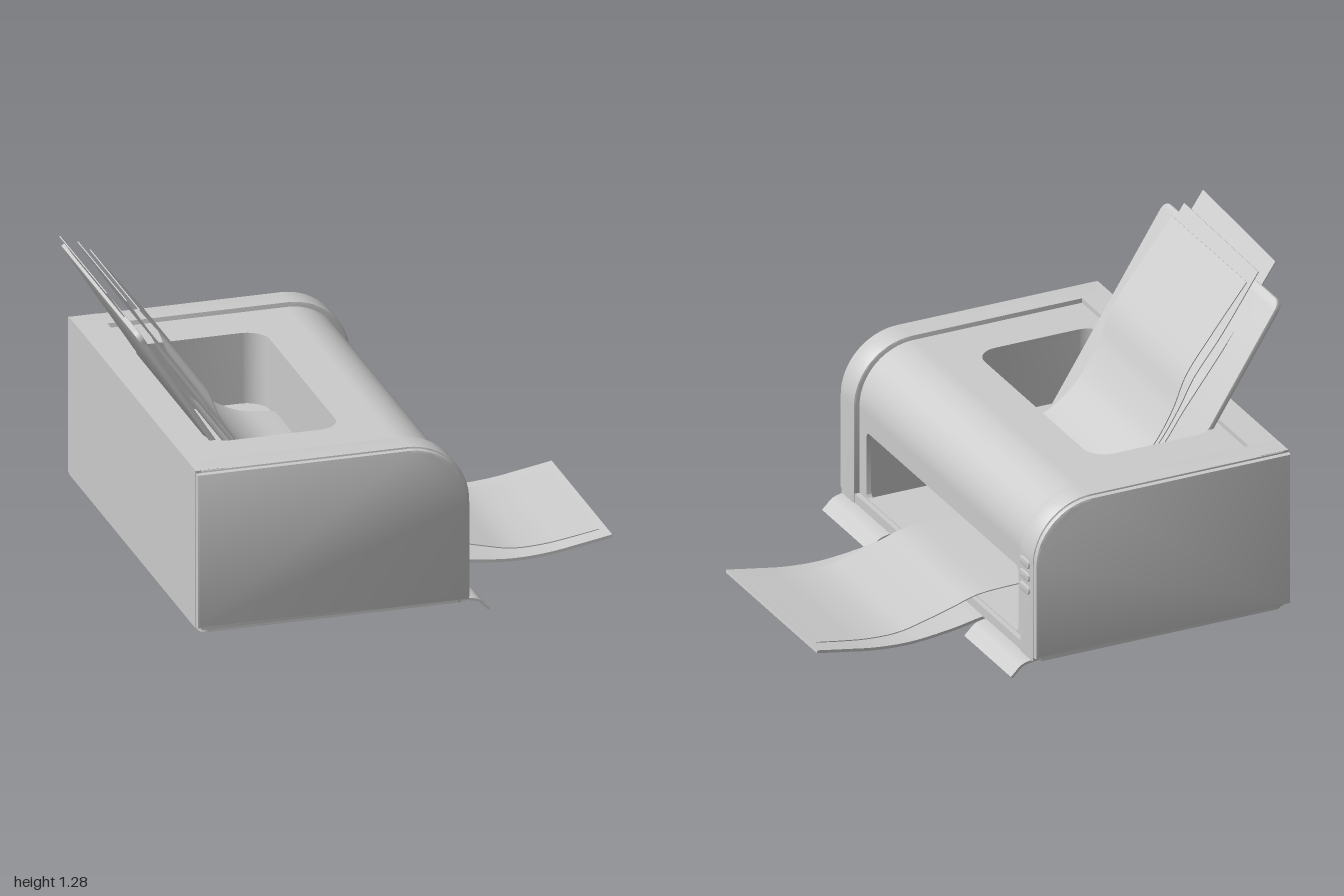
import * as THREE from 'three';
import { toCreasedNormals } from 'three/addons/utils/BufferGeometryUtils.js';

const grey = new THREE.MeshStandardMaterial({ color: 0xcccccc, side: THREE.DoubleSide });

export function createModel() {
  const model = new THREE.Group();

  const add = (name, geometry) => {
    const mesh = new THREE.Mesh(geometry, grey);
    mesh.name = name;
    model.add(mesh);
    return mesh;
  };

  // Box given by its limits on each axis
  const box = (name, x0, x1, y0, y1, z0, z1) => {
    const g = new THREE.BoxGeometry(x1 - x0, y1 - y0, z1 - z0);
    g.translate((x0 + x1) / 2, (y0 + y1) / 2, (z0 + z1) / 2);
    return add(name, g);
  };

  // Rounded rectangle as a Shape or a Path
  const roundRect = (p, x0, x1, y0, y1, r) => {
    p.moveTo(x0 + r, y0);
    p.lineTo(x1 - r, y0);
    p.absarc(x1 - r, y0 + r, r, -Math.PI / 2, 0);
    p.absarc(x1 - r, y1 - r, r, 0, Math.PI / 2);
    p.absarc(x0 + r, y1 - r, r, Math.PI / 2, Math.PI);
    p.absarc(x0 + r, y0 + r, r, Math.PI, Math.PI * 1.5);
    return p;
  };

  const extrude = (shape, depth, bevel = 0, segments = 8) => toCreasedNormals(
    new THREE.ExtrudeGeometry(shape, {
      depth: depth - 2 * bevel, curveSegments: segments, bevelEnabled: bevel > 0,
      bevelSize: bevel, bevelThickness: bevel, bevelOffset: -bevel, bevelSegments: 2,
    }).translate(0, 0, bevel), 0.6);

  // Side outline with the big rounded front top edge
  const sideOutline = (x0, x1, y0, y1, r) => {
    const s = new THREE.Shape();
    s.moveTo(x0, y0);
    s.lineTo(x1, y0);
    s.lineTo(x1, y1 - r);
    s.absarc(x1 - r, y1 - r, r, 0, Math.PI / 2);
    s.lineTo(x0, y1);
    return s;
  };

  // Thin slab of given thickness and width that follows a curve in the xy plane
  const sheet = (name, points, width, thickness, z = 0, skew = 0) => {
    const curve = new THREE.CatmullRomCurve3(points.map(([x, y]) => new THREE.Vector3(x, y, 0)));
    const g = new THREE.BoxGeometry(1, thickness, width, 32, 1, 1);
    const pos = g.attributes.position;
    for (let i = 0; i < pos.count; i++) {
      const u = pos.getX(i) + 0.5, h = pos.getY(i), w = pos.getZ(i);
      const p = curve.getPointAt(u), t = curve.getTangentAt(u);
      const slide = skew * w * (1 - u);
      pos.setXYZ(i, p.x - t.y * h + t.x * slide, p.y + t.x * h + t.y * slide, w + z + skew * (0.5 - u) * 0.4);
    }
    g.computeVertexNormals();
    return add(name, g);
  };

  // Side frames and the slightly raised outer panels
  for (const s of [1, -1]) {
    const side = s > 0 ? 'left' : 'right';
    const frame = extrude(sideOutline(-0.78, 0.295, 0.06, 0.72, 0.25), 0.11, 0.008);
    add(side + 'SideFrame', frame.translate(0, 0, s > 0 ? 0.71 : -0.82));
    const panel = extrude(sideOutline(-0.8, 0.29, 0.075, 0.712, 0.245), 0.03, 0.01);
    add(side + 'SidePanel', panel.translate(0, 0, s > 0 ? 0.81 : -0.84));
  }

  // Rear block, base and sill joining the two sides
  box('rearWall', -0.8, -0.68, 0.07, 0.72, -0.815, 0.815);
  add('basePlate', extrude(roundRect(new THREE.Shape(), -0.78, 0.28, -0.81, 0.81, 0.03), 0.025)
    .rotateX(-Math.PI / 2).translate(0, 0.048, 0));
  box('frontSill', 0.2, 0.29, 0.06, 0.1, -0.712, 0.712);

  // Top cover with the feeder opening
  const top = new THREE.Shape();
  top.moveTo(-0.69, -0.71);
  top.lineTo(0.04, -0.71);
  top.lineTo(0.04, 0.71);
  top.lineTo(-0.69, 0.71);
  top.holes.push(roundRect(new THREE.Path(), -0.65, -0.12, -0.51, 0.51, 0.09));
  add('topCover', extrude(top, 0.02).rotateX(-Math.PI / 2).translate(0, 0.68, 0));

  // Curved cover between top and front
  const band = new THREE.Shape();
  band.absarc(0.04, 0.47, 0.23, 0, Math.PI / 2, false);
  band.absarc(0.04, 0.47, 0.21, Math.PI / 2, 0, true);
  add('curvedCover', extrude(band, 1.42, 0, 14).translate(0, 0, -0.71));

  // Front cover with the paper exit
  const front = new THREE.Shape();
  front.moveTo(-0.71, 0.095);
  front.lineTo(0.71, 0.095);
  front.lineTo(0.71, 0.47);
  front.lineTo(-0.71, 0.47);
  front.holes.push(roundRect(new THREE.Path(), -0.65, 0.65, 0.105, 0.385, 0.025));
  add('frontCover', extrude(front, 0.02).rotateY(Math.PI / 2).translate(0.25, 0, 0));

  // Inside of the paper exit
  box('exitFloor', -0.45, 0.26, 0.07, 0.1, -0.66, 0.66);
  box('exitBack', -0.47, -0.45, 0.07, 0.4, -0.66, 0.66);
  box('exitCeiling', -0.45, 0.255, 0.388, 0.398, -0.66, 0.66);
  for (const s of [-1, 1]) box('exitSide', -0.45, 0.255, 0.1, 0.39, s * 0.655 - 0.005, s * 0.655 + 0.005);

  // Feeder well: rounded wall and floor
  const wall = roundRect(new THREE.Shape(), -0.66, -0.11, -0.52, 0.52, 0.1);
  wall.holes.push(roundRect(new THREE.Path(), -0.65, -0.12, -0.51, 0.51, 0.09));
  add('feederWall', extrude(wall, 0.29).rotateX(-Math.PI / 2).translate(0, 0.4, 0));
  add('feederFloor', extrude(roundRect(new THREE.Shape(), -0.66, -0.11, -0.52, 0.52, 0.1), 0.01)
    .rotateX(-Math.PI / 2).translate(0, 0.399, 0));

  // Slanted paper support with rounded upper corners
  const rest = new THREE.Shape();
  rest.moveTo(-0.49, 0);
  rest.lineTo(0.49, 0);
  rest.lineTo(0.49, 0.86);
  rest.absarc(0.45, 0.86, 0.04, 0, Math.PI / 2);
  rest.lineTo(-0.45, 0.9);
  rest.absarc(-0.45, 0.86, 0.04, Math.PI / 2, Math.PI);
  const support = add('paperSupport', extrude(rest, 0.022, 0.004).rotateY(Math.PI / 2));
  support.position.set(-0.46, 0.41, 0);
  support.rotation.z = 0.566;

  // Loaded sheets leaning on the support and bending into the well
  sheet('rearSheet', [[-0.995, 1.275], [-0.8, 0.985], [-0.605, 0.72], [-0.48, 0.55], [-0.32, 0.45], [-0.13, 0.42]],
    0.645, 0.004, 0, -0.035);
  sheet('middleSheet', [[-0.92, 1.24], [-0.76, 1.0], [-0.64, 0.84], [-0.575, 0.72], [-0.46, 0.56], [-0.31, 0.46], [-0.13, 0.43]],
    0.645, 0.004, 0, -0.015);
  sheet('frontSheet', [[-0.87, 1.2], [-0.72, 1.01], [-0.61, 0.86], [-0.55, 0.72], [-0.45, 0.57], [-0.3, 0.47], [-0.13, 0.44]],
    0.64, 0.004);

  // Output tray, printed sheet and the two curled front lips
  sheet('outputTray', [[0.2, 0.06], [0.29, 0.057], [0.42, 0.035], [0.6, 0.018], [0.75, 0.026], [0.88, 0.047], [1, 0.068]], 0.78, 0.012);
  sheet('printedSheet', [[0, 0.13], [0.28, 0.12], [0.38, 0.092], [0.5, 0.06], [0.62, 0.035], [0.75, 0.037], [0.86, 0.052], [0.97, 0.07]],
    0.635, 0.004, 0, 0.01);
  for (const s of [-1, 1])
    sheet('frontLip', [[0.24, 0.057], [0.29, 0.057], [0.335, 0.045], [0.36, 0.022], [0.378, 0.005]], 0.4, 0.01, s * 0.608);

  // Three oblong buttons on the right front upright
  for (const y of [0.348, 0.403, 0.458]) {
    const g = extrude(roundRect(new THREE.Shape(), -0.04, 0.04, -0.018, 0.018, 0.0178), 0.02, 0.004);
    add('button', g.rotateY(Math.PI / 2).translate(0.282, y, -0.757));
  }
  return model;
}
